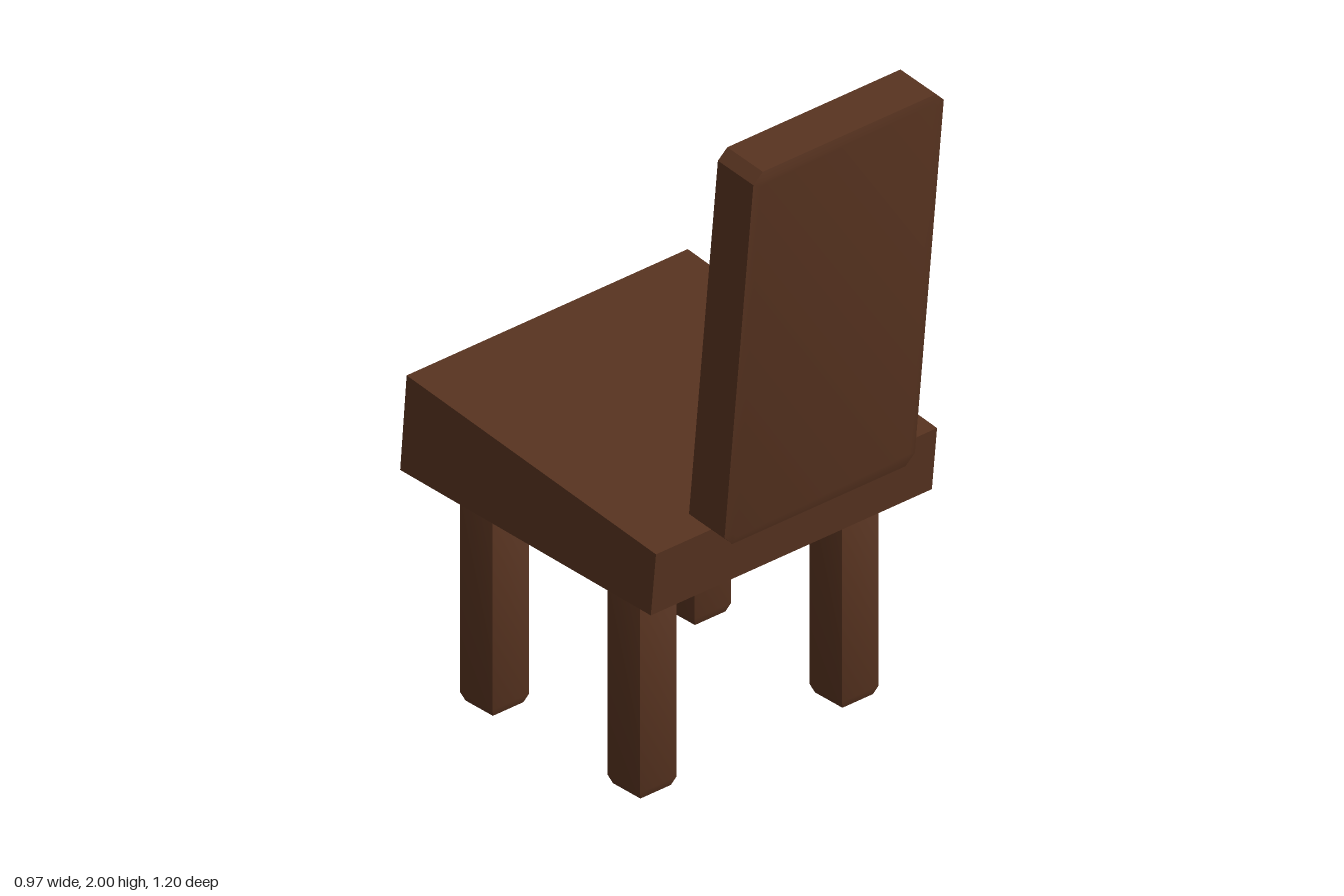
import * as THREE from 'three';
import { toCreasedNormals } from 'three/addons/utils/BufferGeometryUtils.js';

const wood = new THREE.MeshStandardMaterial({ color: 0x56321f });

function polygon(points) {
  return new THREE.Shape(points.map(([x, y]) => new THREE.Vector2(x, y)));
}

// Solid of the given depth, centred along z, with shallow bevelled faces
function slab(shape, depth, bevelThickness, bevelSize) {
  const geometry = new THREE.ExtrudeGeometry(shape, {
    depth: depth - 2 * bevelThickness,
    bevelEnabled: bevelThickness > 0,
    bevelThickness, bevelSize, bevelOffset: -bevelSize, bevelSegments: 1,
  });
  geometry.translate(0, 0, bevelThickness - depth / 2);
  return toCreasedNormals(geometry, 0.5);
}

export function createModel() {
  const chair = new THREE.Group();
  chair.name = 'chair';

  function add(name, geometry, x = 0, y = 0, z = 0) {
    const mesh = new THREE.Mesh(geometry, wood);
    mesh.name = name;
    mesh.position.set(x, y, z);
    chair.add(mesh);
    return mesh;
  }

  // Wedge seat: side profile as (z, y), extruded across the width
  const profile = polygon([[0.37, 0.637], [0.39, 0.828], [-0.575, 0.945], [-0.6, 0.652]]);
  add('seat', slab(profile, 0.974, 0, 0).rotateY(-Math.PI / 2));

  // Leaning backrest with cut corners
  const w = 0.33, h = 0.584, c = 0.03;
  const panel = polygon([
    [-w + c, -h], [w - c, -h], [w, -h + c], [w, h - c],
    [w - c, h], [-w + c, h], [-w, h - c], [-w, -h + c],
  ]);
  const back = add('backrest', slab(panel, 0.15, 0.006, 0.022), 0, 1.412, 0.467);
  back.rotation.x = 0.101;

  // Square legs with tapered ends
  const r = 0.063, legHeight = 0.645;
  const square = polygon([[-r, -r], [r, -r], [r, r], [-r, r]]);
  const leg = slab(square, legHeight, 0.025, 0.01).rotateX(-Math.PI / 2);
  for (const [side, x] of [['left', 0.35], ['right', -0.35]]) {
    add(side + 'LegUnderBackrest', leg, x, legHeight / 2, 0.183);
    add(side + 'LegUnderSeatEdge', leg, x, legHeight / 2, -0.388);
  }

  return chair;
}
